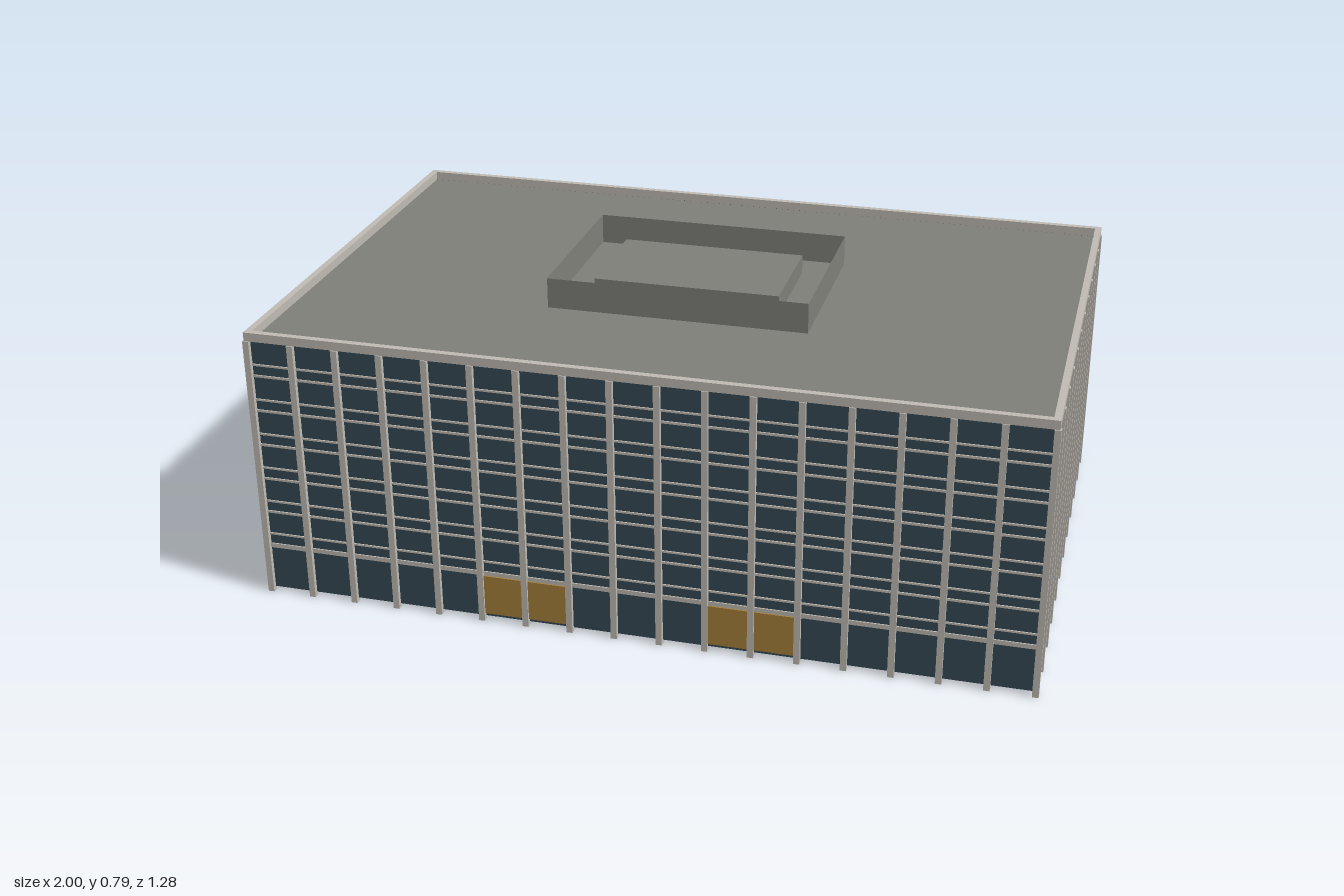
import * as THREE from 'three';

const mat = (name, color, side = THREE.FrontSide) => {
  const m = new THREE.MeshStandardMaterial({ color, side });
  m.name = name;
  return m;
};

export function createModel() {
  const concrete = mat('pale concrete', 0xc0bcb4);
  const glass = mat('dark glass', 0x364a54, THREE.DoubleSide);
  const roofGrey = mat('roof grey', 0x80807a, THREE.DoubleSide);
  const bronze = mat('bronze door', 0xa8813c);

  const HX = 0.992, HZ = 0.634;   // column centre lines
  const COL = 0.016, EAVE = 0.712, TOP = 0.735;
  const model = new THREE.Group();
  model.name = 'officeBuilding';

  const add = (parent, name, geo, material, x, y, z) => {
    const mesh = new THREE.Mesh(geo, material);
    mesh.name = name;
    mesh.position.set(x, y, z);
    parent.add(mesh);
    return mesh;
  };

  // Horizontal bars: [height, thickness]
  const bars = [[0.1345, 0.012]];
  for (let k = 0; k < 6; k++) {
    bars.push([0.169 + 0.0955 * k, 0.005]);
    if (k < 5) bars.push([0.2335 + 0.0957 * k, 0.006]);
  }

  // One facade facing +z, then turned into place
  function facade(name, half, dist, bays, angle) {
    const wall = new THREE.Group();
    wall.name = name;
    const gz = dist - 0.004;
    add(wall, 'glazing', new THREE.PlaneGeometry(2 * half, EAVE - 0.01), glass, 0, (EAVE + 0.01) / 2, gz);
    for (const [y, t] of bars)
      add(wall, 'floorBar', new THREE.BoxGeometry(2 * half - COL, t, 0.007), concrete, 0, y, gz);
    // The corner columns belong to the long facades
    const skip = bays < 15 ? 1 : 0;
    for (let i = skip; i <= bays - skip; i++)
      add(wall, 'column', new THREE.BoxGeometry(COL, EAVE, COL), concrete,
        -half + (2 * half * i) / bays, EAVE / 2, dist);
    wall.rotation.y = angle;
    model.add(wall);
    return wall;
  }
  const front = facade('frontFacade', HX, HZ, 17, 0);
  facade('backFacade', HX, HZ, 17, Math.PI);
  facade('leftFacade', HZ, HX, 11, Math.PI / 2);
  facade('rightFacade', HZ, HX, 11, -Math.PI / 2);

  // Two double entrances on the front
  for (const bay of [5, 6, 10, 11])
    add(front, 'entranceDoor', new THREE.BoxGeometry(0.1, 0.109, 0.006), bronze,
      -HX + (2 * HX * (bay + 0.5)) / 17, 0.0745, HZ);

  // Parapet frame around the roof
  const rect = (path, x, z) => {
    path.moveTo(-x, -z);
    path.lineTo(x, -z);
    path.lineTo(x, z);
    path.lineTo(-x, z);
    path.closePath();
    return path;
  };
  const ring = rect(new THREE.Shape(), 0.997, 0.639);
  ring.holes.push(rect(new THREE.Path(), 0.98, 0.622));
  const parapetGeo = new THREE.ExtrudeGeometry(ring, { depth: TOP - EAVE, bevelEnabled: false });
  parapetGeo.rotateX(-Math.PI / 2);
  add(model, 'parapet', parapetGeo, concrete, 0, EAVE, 0);

  // Flat roof, with no floor slab below
  const roofGeo = new THREE.PlaneGeometry(1.97, 1.254).rotateX(-Math.PI / 2);
  add(model, 'roof', roofGeo, roofGrey, 0, EAVE - 0.002, 0);

  // Open screen on the roof around a low plant box
  const screen = new THREE.Group();
  screen.name = 'roofScreen';
  const H = 0.79 - 0.71;
  for (const [w, d, a] of [[0.68, 0.243, 0], [0.486, 0.34, 1], [0.68, 0.243, 2], [0.486, 0.34, 3]]) {
    const angle = (a * Math.PI) / 2;
    const panel = add(screen, 'screenPanel', new THREE.PlaneGeometry(w, H), roofGrey,
      Math.sin(angle) * d, 0.71 + H / 2, Math.cos(angle) * d);
    panel.rotation.y = angle;
  }
  model.add(screen);
  add(model, 'plantBox', new THREE.BoxGeometry(0.488, 0.05, 0.295), roofGrey, 0, 0.737, 0);

  return model;
}
